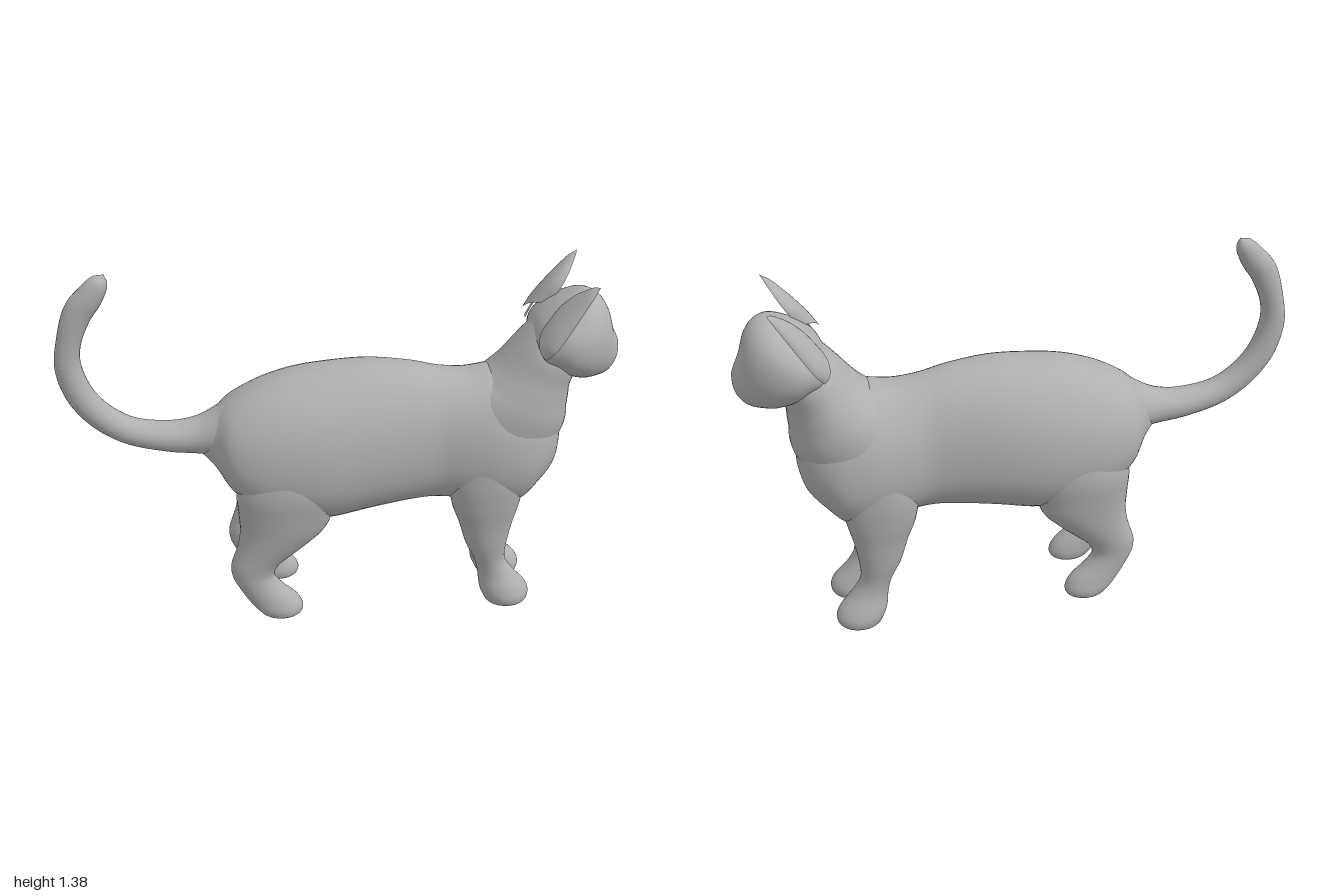
import * as THREE from 'three';

const X = new THREE.Vector3(1, 0, 0);
const Y = new THREE.Vector3(0, 1, 0);
const Z = new THREE.Vector3(0, 0, 1);

// Smooth tube through sections [x, y, z, half size along u, half size along v].
// Without a fixed u, rings stand square to the path in the xy plane.
// egg widens the lower side, power squares the ring, hollow cups one face, side mirrors in z.
function loft(sections, { u, v = Z, egg = 0, power = 1, hollow = false, side = 1, sides = 36 } = {}) {
  const path = new THREE.CatmullRomCurve3(sections.map(s => new THREE.Vector3(s[0], s[1], s[2])), false, 'catmullrom', 0.5);
  const size = new THREE.CatmullRomCurve3(sections.map(s => new THREE.Vector3(s[3], s[4], 0)), false, 'catmullrom', 0.5);
  const steps = (sections.length - 1) * 5;
  const round = n => Math.sign(n) * Math.abs(n) ** power;
  const positions = [], index = [];
  for (let i = 0; i <= steps; i++) {
    const t = i / steps;
    const c = path.getPoint(t), r = size.getPoint(t);
    const tan = path.getTangent(t);
    const ru = u || new THREE.Vector3(-tan.y, tan.x, 0).normalize();
    for (let j = 0; j < sides; j++) {
      const angle = j / sides * Math.PI * 2;
      const cu = round(Math.cos(angle));
      let sv = round(Math.sin(angle)) * (1 - egg * cu);
      if (hollow && sv < 0) sv *= -0.45;
      const p = c.clone()
        .addScaledVector(ru, Math.max(r.x, 0.001) * cu)
        .addScaledVector(v, Math.max(r.y, 0.001) * sv);
      positions.push(p.x, p.y, p.z * side);
      if (i < steps) {
        const k = (j + 1) % sides;
        const a = i * sides + j, b = i * sides + k, d = a + sides, e = b + sides;
        if (side > 0) index.push(a, b, d, b, e, d);
        else index.push(a, d, b, b, d, e);
      }
    }
  }
  const g = new THREE.BufferGeometry();
  g.setAttribute('position', new THREE.Float32BufferAttribute(positions, 3));
  g.setIndex(index);
  g.computeVertexNormals();
  return g;
}

// Upright section from [x, bottom, top, half width]
const upright = ([x, bottom, top, w]) => [x, (bottom + top) / 2, 0, (top - bottom) / 2, w];

export function createModel() {
  const model = new THREE.Group();
  model.name = 'cat';
  const fur = new THREE.MeshStandardMaterial({ color: 0xb0b0b0 });
  fur.name = 'grey fur';
  const add = (name, geometry) => {
    const mesh = new THREE.Mesh(geometry, fur);
    mesh.name = name;
    model.add(mesh);
  };

  // Rump, belly and chest
  add('torso', loft([
    [-0.53, 0.70, 0.80, 0.03], [-0.46, 0.63, 0.835, 0.10], [-0.40, 0.54, 0.885, 0.175],
    [-0.30, 0.45, 0.94, 0.215], [-0.18, 0.42, 0.98, 0.23], [-0.05, 0.41, 1.0, 0.23],
    [0.10, 0.435, 1.01, 0.21], [0.25, 0.455, 0.995, 0.183], [0.35, 0.46, 0.972, 0.172],
    [0.45, 0.45, 0.96, 0.188], [0.55, 0.43, 0.97, 0.202], [0.65, 0.435, 0.96, 0.195],
    [0.72, 0.50, 0.94, 0.165], [0.78, 0.575, 0.89, 0.11], [0.805, 0.66, 0.80, 0.03], [0.808, 0.73, 0.74, 0],
  ].map(upright), { u: Y, egg: 0.1, power: 0.92, sides: 48 }));

  // Neck leaning forward into the head
  add('neck', loft([
    [0.54, 0.68, 0, 0.16, 0.13], [0.59, 0.75, 0, 0.21, 0.18], [0.645, 0.83, 0, 0.197, 0.188],
    [0.68, 0.90, 0, 0.16, 0.178], [0.71, 0.965, 0, 0.132, 0.165], [0.745, 1.03, 0, 0.115, 0.158],
    [0.78, 1.09, 0, 0.10, 0.13],
  ]));

  // Skull, cheeks and muzzle
  add('head', loft([
    [0.67, 1.05, 1.10, 0.03], [0.70, 1.01, 1.155, 0.145], [0.75, 0.985, 1.20, 0.18],
    [0.80, 0.955, 1.23, 0.19], [0.86, 0.935, 1.252, 0.175], [0.91, 0.935, 1.238, 0.145],
    [0.945, 0.94, 1.195, 0.11], [0.968, 0.955, 1.125, 0.078], [0.988, 0.98, 1.083, 0.048],
    [0.998, 1.01, 1.06, 0.02], [1.0, 1.035, 1.04, 0],
  ].map(upright), { u: Y, power: 0.92, sides: 48 }));

  // Tail curling up to a rounded tip
  add('tail', loft([
    [-0.36, 0.77, 0, 0.13, 0.13], [-0.44, 0.755, 0, 0.092, 0.10], [-0.52, 0.745, 0, 0.068, 0.073],
    [-0.62, 0.745, 0, 0.056, 0.062], [-0.75, 0.772, 0, 0.05, 0.052], [-0.85, 0.835, 0, 0.05, 0.047],
    [-0.92, 0.925, 0, 0.05, 0.045], [-0.953, 1.035, 0, 0.047, 0.042], [-0.943, 1.135, 0, 0.043, 0.04],
    [-0.905, 1.24, 0, 0.05, 0.04], [-0.86, 1.30, 0, 0.047, 0.04], [-0.82, 1.355, 0, 0.032, 0.03],
    [-0.803, 1.383, 0, 0, 0],
  ], { sides: 28 }));

  // Ear: u runs from the outer to the inner edge, v points out of its back
  const earWide = new THREE.Vector3(0.34, 0.62, -0.70).normalize();
  const earBack = new THREE.Vector3(0.11, 0.175, 0.04).cross(earWide).normalize();

  for (const [label, side] of [['right', 1], ['left', -1]]) {
    add(label + 'Ear', loft([
      [0.725, 1.12, 0.125, 0.075, 0.05], [0.76, 1.172, 0.133, 0.094, 0.05], [0.795, 1.225, 0.143, 0.078, 0.042],
      [0.827, 1.275, 0.155, 0.05, 0.028], [0.85, 1.31, 0.164, 0.027, 0.016], [0.868, 1.335, 0.17, 0, 0],
    ], { u: earWide, v: earBack, hollow: true, side }));

    // Straight foreleg with a rounded paw
    add(label + 'FrontLeg', loft([
      [0.53, 0.76, 0.10, 0.05, 0.04], [0.535, 0.68, 0.105, 0.12, 0.085], [0.53, 0.57, 0.108, 0.14, 0.09],
      [0.53, 0.46, 0.108, 0.126, 0.08], [0.535, 0.38, 0.105, 0.102, 0.07], [0.542, 0.28, 0.10, 0.078, 0.063],
      [0.56, 0.20, 0.093, 0.059, 0.056], [0.585, 0.14, 0.092, 0.068, 0.058], [0.615, 0.08, 0.098, 0.09, 0.069],
      [0.628, 0.04, 0.10, 0.088, 0.073], [0.63, 0.01, 0.10, 0.068, 0.058], [0.63, 0, 0.10, 0, 0],
    ], { u: X, side }));

    // Thigh, hock and hind paw
    add(label + 'BackLeg', loft([
      [-0.19, 0.76, 0.10, 0.06, 0.05], [-0.19, 0.68, 0.115, 0.16, 0.10], [-0.20, 0.58, 0.125, 0.188, 0.107],
      [-0.212, 0.48, 0.127, 0.173, 0.093], [-0.225, 0.41, 0.127, 0.157, 0.082], [-0.258, 0.35, 0.127, 0.132, 0.071],
      [-0.295, 0.30, 0.126, 0.11, 0.062], [-0.33, 0.25, 0.125, 0.09, 0.055], [-0.338, 0.20, 0.125, 0.078, 0.05],
      [-0.31, 0.15, 0.125, 0.083, 0.051], [-0.27, 0.10, 0.126, 0.095, 0.056], [-0.243, 0.055, 0.128, 0.088, 0.059],
      [-0.235, 0.025, 0.128, 0.062, 0.045], [-0.235, 0.016, 0.128, 0, 0],
    ], { u: X, side }));
  }
  return model;
}
